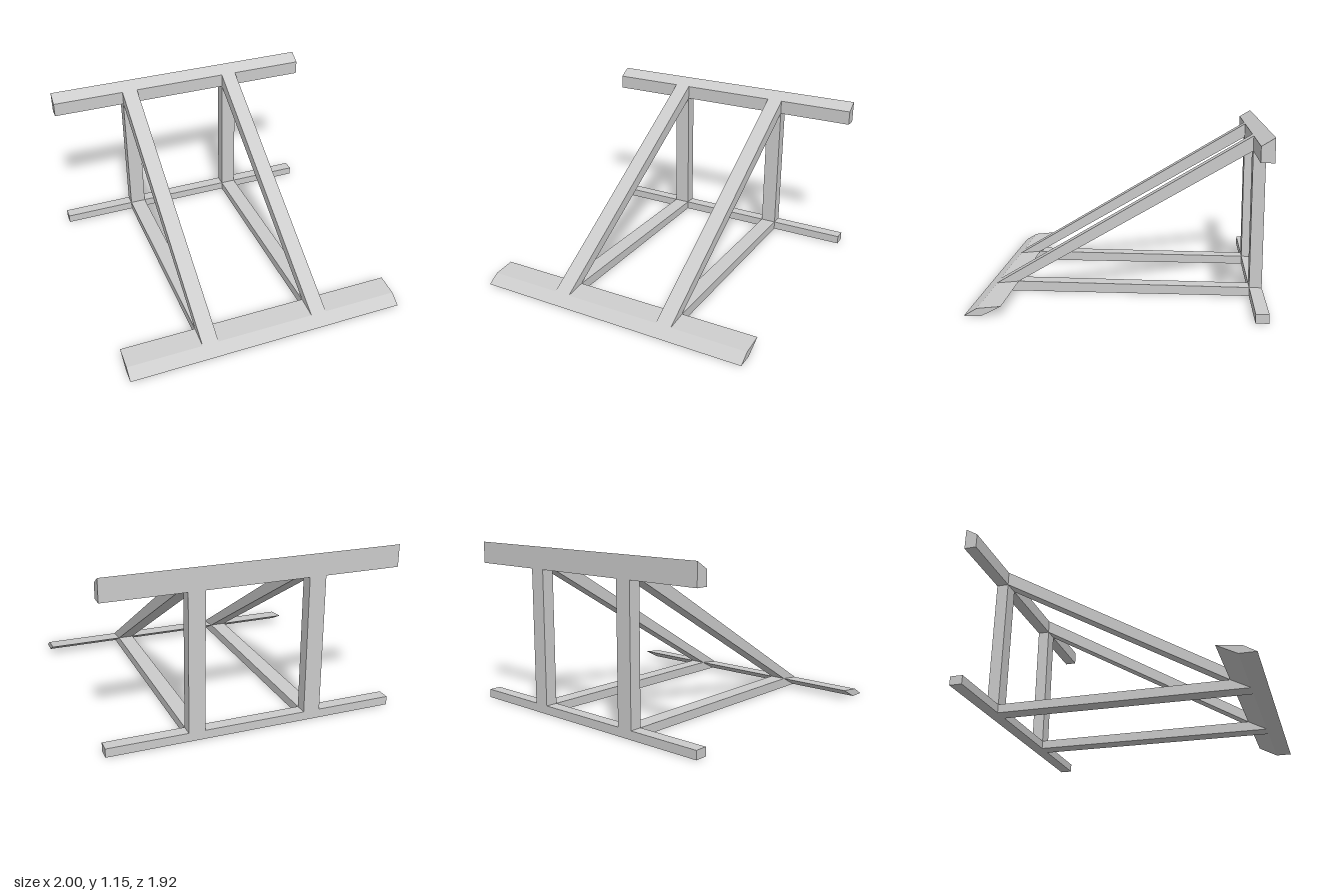
import * as THREE from 'three';

const material = new THREE.MeshStandardMaterial({ color: 0xcccccc, flatShading: true });

// Bar with a side profile of [z, y] points, running from x0 to x1
function bar(name, profile, x0, x1) {
  const shape = new THREE.Shape(profile.map(([z, y]) => new THREE.Vector2(z, y)));
  const geometry = new THREE.ExtrudeGeometry(shape, { depth: x1 - x0, bevelEnabled: false });
  geometry.rotateY(-Math.PI / 2).translate(x1, 0, 0);
  const mesh = new THREE.Mesh(geometry, material);
  mesh.name = name;
  return mesh;
}

export function createModel() {
  const model = new THREE.Group();
  model.name = 'slopedFrame';
  const back = -0.96, inner = -0.875;

  // Full-width cross beams
  model.add(
    bar('topBeam', [[back, 1], [inner, 1], [inner, 1.1], [back, 1.152]], -1, 1),
    bar('backFootBeam', [[back, 0], [inner, 0], [inner, 0.06], [back, 0.06]], -1, 1),
    bar('frontFootBeam', [[0.85, 0], [0.96, 0], [0.875, 0.051], [0.72, 0.068]], -1, 1)
  );

  // Two triangular side frames
  for (const [side, x0, x1] of [['right', -0.47, -0.355], ['left', 0.345, 0.457]]) {
    const frame = new THREE.Group();
    frame.name = side + 'Frame';
    frame.add(
      bar('post', [[back, 0.06], [inner, 0.06], [inner, 1], [back, 1]], x0, x1),
      bar('slopedStrut', [[0.72, 0.068], [0.875, 0.051], [inner, 1.1], [inner, 1]], x0, x1),
      bar('floorRail', [[inner, 0], [0.85, 0], [0.72, 0.068], [inner, 0.06]], x0, x1)
    );
    model.add(frame);
  }
  return model;
}
